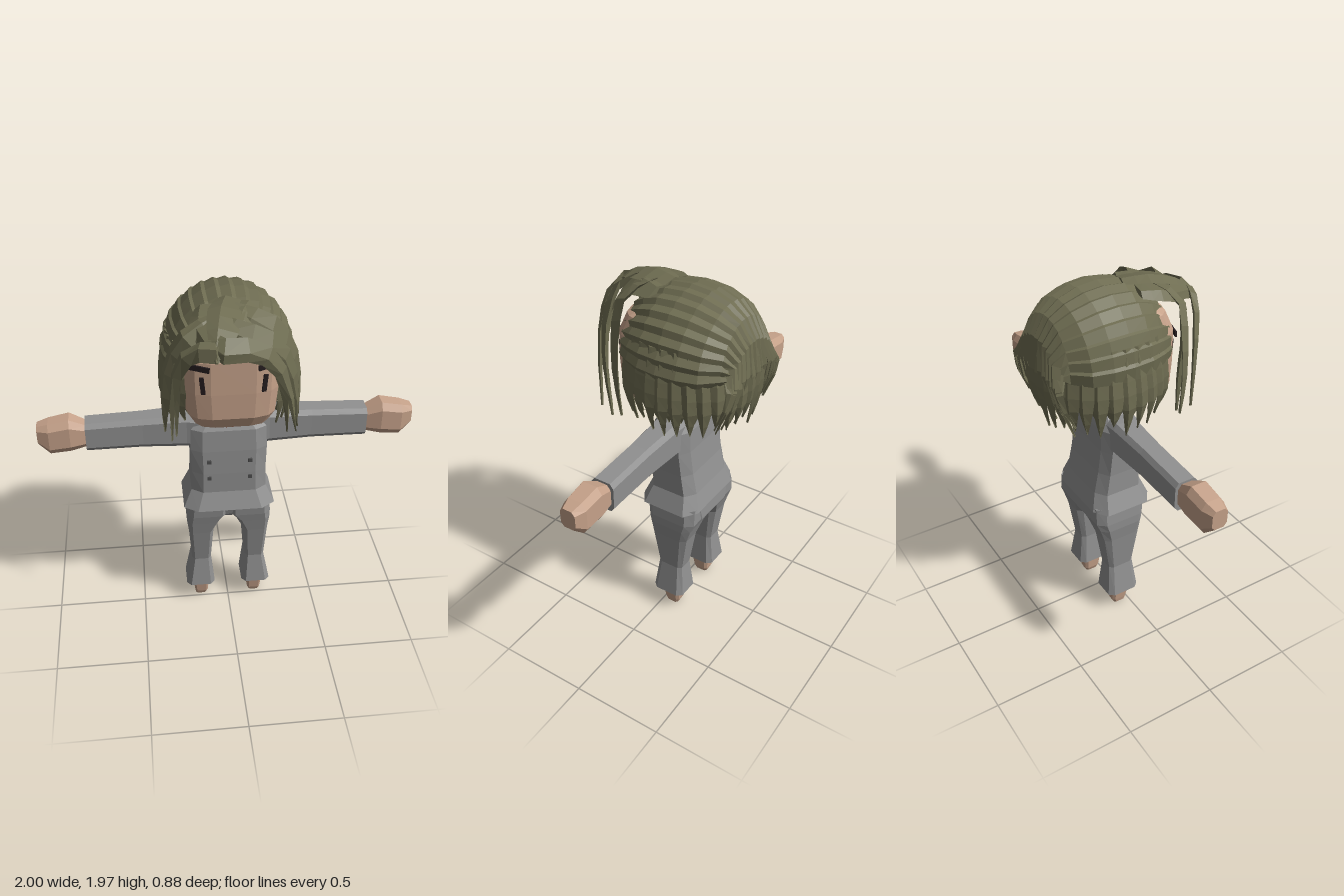
import * as THREE from 'three';
import { mergeGeometries } from 'three/addons/utils/BufferGeometryUtils.js';

const V = (x, y, z) => new THREE.Vector3(x, y, z);
const mat = (name, color) => {
  const m = new THREE.MeshStandardMaterial({ color, flatShading: true });
  m.name = name;
  return m;
};

// Closed skin over a list of equal-sized rings, turned outward by its signed volume
function loft(rings) {
  const tris = [], n = rings[0].length;
  for (let i = 0; i < rings.length - 1; i++) {
    for (let j = 0; j < n; j++) {
      const k = (j + 1) % n, a = rings[i], b = rings[i + 1];
      tris.push([a[j], a[k], b[k]], [a[j], b[k], b[j]]);
    }
  }
  const first = rings[0], last = rings[rings.length - 1];
  for (let j = 1; j < n - 1; j++) {
    tris.push([first[0], first[j + 1], first[j]], [last[0], last[j], last[j + 1]]);
  }
  const o = first[0];
  let volume = 0;
  for (const [a, b, c] of tris) {
    volume += a.clone().sub(o).dot(b.clone().sub(o).cross(c.clone().sub(o)));
  }
  if (volume < 0) tris.forEach(t => t.reverse());
  const g = new THREE.BufferGeometry().setFromPoints(tris.flat());
  g.computeVertexNormals();
  return g;
}

// Eight-sided bevelled rectangle between two corners, as [u, v] pairs
function oct(u0, u1, v0, v1, bevel = 0.3) {
  const cu = (u0 + u1) / 2, cv = (v0 + v1) / 2, hu = (u1 - u0) / 2, hv = (v1 - v0) / 2;
  const s = 1 - bevel;
  return [[1, s], [s, 1], [-s, 1], [-1, s], [-1, -s], [-s, -1], [s, -1], [1, -s]]
    .map(([a, b]) => [cu + a * hu, cv + b * hv]);
}
// Rows: [y, x0, x1, z0, z1]
const upright = (rows, bevel) => loft(rows.map(([y, ...r]) => oct(...r, bevel).map(([x, z]) => V(x, y, z))));
// Rows: [x, y0, y1, z0, z1]
const sideways = (rows, bevel) => loft(rows.map(([x, ...r]) => oct(...r, bevel).map(([y, z]) => V(x, y, z))));
const flipRow = ([y, x0, x1, z0, z1]) => [y, -x1, -x0, z0, z1];

// Tapered lock of hair with a ridge facing away from the head
const headCentre = V(0, 1.6, -0.07);
function lock(points, width, thick = 0.022, steps = 6) {
  const curve = new THREE.CatmullRomCurve3(points);
  const rings = [];
  for (let i = 0; i <= steps; i++) {
    const t = i / steps, p = curve.getPoint(t), dir = curve.getTangent(t);
    const out = p.clone().sub(headCentre);
    out.addScaledVector(dir, -out.dot(dir)).normalize();
    const side = dir.clone().cross(out).normalize();
    const taper = t < 0.25 ? 0.65 + 1.4 * t : Math.max(0.04, 1 - Math.pow((t - 0.25) / 0.75, 2));
    const w = width * taper, h = thick * (0.3 + 0.7 * taper);
    rings.push([
      p.clone().addScaledVector(side, w),
      p.clone().addScaledVector(side, w * 0.3).addScaledVector(out, h),
      p.clone().addScaledVector(side, -w).addScaledVector(out, h * 0.2),
      p.clone().addScaledVector(out, -h * 0.6),
    ]);
  }
  return loft(rings);
}

export function createModel() {
  const model = new THREE.Group();
  const suit = mat('suit grey', 0x909090), skin = mat('skin', 0xc6a28a);
  const hair = mat('hair olive', 0x6f6d52), dark = mat('eye black', 0x241c1e);
  const red = mat('bow red', 0x74301c), button = mat('button grey', 0x4c4c4c);
  const add = (name, geo, material, parent = model) => {
    const m = new THREE.Mesh(geo, material);
    m.name = name;
    parent.add(m);
    return m;
  };
  let seed = 7;
  const rand = () => (seed = (seed * 16807) % 2147483647) / 2147483647 - 0.5;

  // Jacket with flared hem, and collar
  add('jacket', upright([
    [0.74, -0.25, 0.25, -0.22, 0.13], [0.84, -0.205, 0.205, -0.19, 0.09],
    [0.96, -0.2, 0.2, -0.165, 0.09], [1.1, -0.205, 0.205, -0.15, 0.085],
    [1.22, -0.2, 0.2, -0.145, 0.075], [1.285, -0.14, 0.14, -0.13, 0.04],
  ]), suit);
  add('collar', upright([[1.25, -0.13, 0.13, -0.13, 0.05], [1.325, -0.1, 0.1, -0.11, 0.0]]), suit);
  add('neck', upright([[1.25, -0.07, 0.07, -0.09, 0.04], [1.36, -0.07, 0.07, -0.09, 0.04]]), skin);

  // Hips, then both sides of the limbs
  add('hips', upright([
    [0.62, -0.1, 0.1, -0.17, 0.02], [0.66, -0.17, 0.17, -0.215, 0.06], [0.77, -0.21, 0.21, -0.21, 0.09],
  ]), suit);
  const leg = [
    [0.125, 0.08, 0.245, -0.15, 0.04], [0.31, 0.1, 0.21, -0.13, 0.02], [0.53, 0.085, 0.225, -0.165, 0.055],
    [0.61, 0.045, 0.235, -0.19, 0.07], [0.66, 0, 0.235, -0.21, 0.08], [0.76, 0, 0.225, -0.21, 0.09],
  ];
  const foot = [[0.005, 0.13, 0.19, -0.09, -0.02], [0.03, 0.12, 0.195, -0.1, -0.01], [0.15, 0.11, 0.21, -0.11, 0.01]];
  const sleeve = [
    [0.12, 1.09, 1.28, -0.12, 0.05], [0.22, 1.1, 1.288, -0.12, 0.03],
    [0.45, 1.105, 1.275, -0.11, 0.018], [0.75, 1.1, 1.262, -0.112, 0.014],
  ];
  const hand = [
    [0.74, 1.12, 1.245, -0.095, 0.0], [0.83, 1.105, 1.293, -0.11, 0.025],
    [0.94, 1.095, 1.272, -0.105, 0.022], [1.0, 1.15, 1.255, -0.085, 0.0],
  ];
  for (const s of [1, -1]) {
    const side = s > 0 ? 'left' : 'right';
    const mirrorX = rows => (s > 0 ? rows : rows.map(([x, ...r]) => [-x, ...r]));
    const mirrorRows = rows => (s > 0 ? rows : rows.map(flipRow));
    add(side + 'TrouserLeg', upright(mirrorRows(leg)), suit);
    add(side + 'Foot', upright(mirrorRows(foot)), skin);
    add(side + 'Sleeve', sideways(mirrorX(sleeve)), suit);
    add(side + 'Hand', sideways(mirrorX(hand), 0.4), skin);
    // Bow wing and two buttons
    add(side + 'BowWing', sideways(mirrorX([
      [0.0, 1.262, 1.288, 0.045, 0.085], [0.075, 1.25, 1.31, 0.04, 0.09], [0.11, 1.262, 1.31, 0.035, 0.075],
    ])), red);
    for (const y of [1.04, 0.935]) {
      add(side + 'Button', new THREE.BoxGeometry(0.022, 0.02, 0.016), button).position.set(s * 0.11, y, 0.09);
    }
  }
  add('bowKnot', new THREE.BoxGeometry(0.04, 0.04, 0.05), red).position.set(0, 1.275, 0.068);

  // Rounded-box head
  const soft = v => Math.sign(v) * Math.sqrt(Math.abs(v));
  add('head', loft([
    [1.31, 0.13, -0.15, 0.17], [1.345, 0.2, -0.2, 0.235], [1.41, 0.235, -0.24, 0.268], [1.55, 0.25, -0.25, 0.272],
    [1.72, 0.25, -0.25, 0.27], [1.82, 0.22, -0.23, 0.23], [1.88, 0.14, -0.15, 0.13],
  ].map(([y, hx, z0, z1]) => Array.from({ length: 16 }, (_, i) => {
    const t = (i + 0.5) * Math.PI / 8;
    return V(hx * soft(Math.cos(t)), y, (z0 + z1) / 2 + (z1 - z0) / 2 * soft(Math.sin(t)));
  }))), skin);

  // Eyes and brows
  for (const s of [1, -1]) {
    const eye = add('eye', new THREE.BoxGeometry(0.022, 0.092, 0.009), dark);
    eye.position.set(s * 0.152, 1.604, 0.265);
    eye.rotation.set(0, s * 0.2, -s * 0.1);
    const brow = add('brow', new THREE.BoxGeometry(0.105, 0.028, 0.009), dark);
    brow.position.set(s * 0.167, 1.697, 0.262);
    brow.rotation.set(0, s * 0.35, s * 0.1);
  }

  // Hair: inner cap
  const hairGroup = new THREE.Group();
  hairGroup.name = 'hair';
  model.add(hairGroup);
  const cap = new THREE.SphereGeometry(1, 18, 9, 0, Math.PI * 2, 0, Math.PI * 0.6);
  cap.scale(0.31, 0.335, 0.33).translate(0, 1.61, -0.08);
  hair.side = THREE.DoubleSide;
  add('hairCap', cap, hair, hairGroup);

  // Locks swept from the forehead over the crown to the nape
  const swept = [];
  for (let k = -7; k <= 7; k++) {
    const a = k / 7 * 1.45, pts = [];
    for (const deg of [38, 65, 95, 125, 155]) {
      const p = deg * Math.PI / 180, r = Math.pow(Math.sin(p), 0.65);
      pts.push(V(0.322 * r * Math.sin(a), 1.61 + 0.345 * r * Math.cos(a), -0.075 + 0.345 * Math.cos(p)));
    }
    pts.push(V(0.24 * Math.sin(a), 1.56 + 0.03 * rand(), -0.425), V(0.25 * Math.sin(a), 1.34 + 0.08 * rand(), -0.35));
    swept.push(lock(pts, 0.055, 0.024, 10));
  }
  add('sweptLocks', mergeGeometries(swept), hair, hairGroup);

  // Two layers of hanging locks around the sides and back
  const hanging = [];
  for (const [count, scale, tip] of [[24, 1, 1.31], [23, 0.9, 1.36]]) {
    for (let i = 0; i < count; i++) {
      const t = (50 + 260 * i / (count - 1)) * Math.PI / 180;
      const flare = 1 + 0.09 * Math.abs(Math.sin(t)), end = tip + 0.08 * rand();
      const at = (y, r) => V(0.32 * r * scale * Math.sin(t), y, -0.07 + 0.35 * r * scale * Math.cos(t));
      hanging.push(lock([at(1.76, 0.93), at(1.6, 1.01), at(1.45, 0.97 * flare), at(end, 0.88 * flare)], 0.05));
    }
  }
  add('hangingLocks', mergeGeometries(hanging), hair, hairGroup);

  // Parted fringe, with long locks framing the face
  const fringe = [
    [0.06, [-0.16, 1.9, 0.24], [-0.08, 1.86, 0.4], [0.1, 1.83, 0.37], [0.23, 1.67, 0.33], [0.31, 1.33, 0.28]],
    [0.065, [-0.1, 1.92, 0.22], [0.05, 1.89, 0.33], [0.2, 1.8, 0.3], [0.29, 1.6, 0.26], [0.33, 1.31, 0.2]],
    [0.07, [0, 1.94, 0.15], [0.16, 1.89, 0.23], [0.27, 1.75, 0.2], [0.325, 1.55, 0.17], [0.345, 1.34, 0.13]],
    [0.04, [0.05, 1.86, 0.3], [0.19, 1.74, 0.31], [0.25, 1.55, 0.29], [0.27, 1.31, 0.25]],
    [0.05, [0, 1.9, 0.25], [-0.08, 1.85, 0.4], [-0.2, 1.83, 0.36], [-0.285, 1.66, 0.31], [-0.305, 1.32, 0.29]],
    [0.06, [-0.05, 1.93, 0.2], [-0.2, 1.87, 0.27], [-0.29, 1.72, 0.24], [-0.33, 1.5, 0.22], [-0.335, 1.32, 0.2]],
    [0.035, [-0.2, 1.84, 0.28], [-0.27, 1.7, 0.25], [-0.275, 1.52, 0.23], [-0.28, 1.3, 0.22]],
    [0.09, [0, 1.95, 0.05], [-0.03, 1.945, 0.2], [-0.07, 1.89, 0.36], [-0.1, 1.81, 0.43]],
    [0.08, [0.1, 1.93, 0.08], [0.06, 1.92, 0.2], [0.02, 1.87, 0.31], [0.04, 1.81, 0.34]],
    [0.08, [-0.12, 1.93, 0.08], [-0.13, 1.91, 0.2], [-0.14, 1.86, 0.3], [-0.17, 1.79, 0.33]],
  ];
  add('fringe', mergeGeometries(fringe.map(([w, ...p]) => lock(p.map(q => V(...q)), w, 0.025, 7))), hair, hairGroup);
  return model;
}
